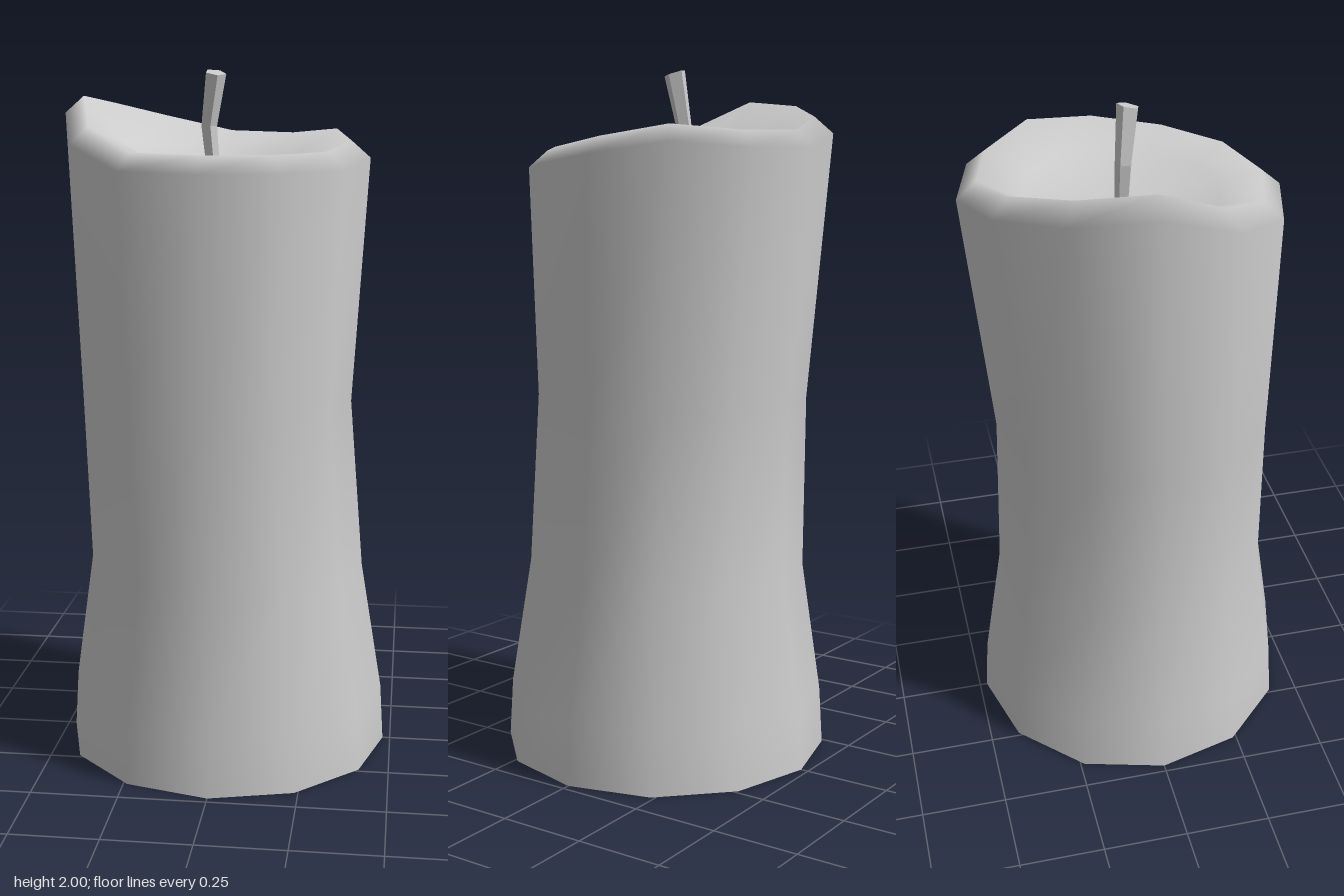
import * as THREE from 'three';

const SIDES = 12;

// Joins rings of points into a skin; an optional end point closes the last ring.
function loft(rings, end) {
  const n = rings[0].length;
  const points = rings.flat();
  const index = [];
  for (let r = 0; r < rings.length - 1; r++) {
    for (let j = 0; j < n; j++) {
      const a = r * n + j, b = r * n + (j + 1) % n;
      index.push(a, a + n, b, b, a + n, b + n);
    }
  }
  if (end) {
    const base = (rings.length - 1) * n;
    for (let j = 0; j < n; j++) index.push(base + j, points.length, base + (j + 1) % n);
    points.push(end);
  }
  const geometry = new THREE.BufferGeometry().setFromPoints(points);
  geometry.setIndex(index);
  geometry.computeVertexNormals();
  return geometry;
}

// A ring around (x, z); height is a number or a function of the corner number.
function ring(n, radius, x, z, height, turn = 0) {
  return Array.from({ length: n }, (_, j) => {
    const a = (j / n) * Math.PI * 2 + turn;
    const y = typeof height === 'function' ? height(j) : height;
    return new THREE.Vector3(x + radius * Math.cos(a), y, z + radius * Math.sin(a));
  });
}

export function createModel() {
  const group = new THREE.Group();
  group.name = 'candle';

  // Uneven melted rim, counted from +x round through the front (+z)
  const rim = [1.8, 1.775, 1.77, 1.77, 1.775, 1.84, 1.925, 1.905, 1.865, 1.82, 1.815, 1.83];

  // Wax: open underneath, waisted side, rounded rim and hollow pool
  const wax = loft([
    ring(SIDES, 0.478, 0, 0, 0),
    ring(SIDES, 0.468, 0, 0, 0.17),
    ring(SIDES, 0.41, -0.005, 0, 0.55),
    ring(SIDES, 0.4, -0.035, 0, 1.05),
    ring(SIDES, 0.443, -0.035, -0.028, (j) => rim[j] - 0.048),
    ring(SIDES, 0.388, -0.035, -0.028, (j) => rim[j]),
    ring(SIDES, 0.27, -0.035, -0.028, (j) => 1.745 + (rim[j] - 1.77) * 0.3),
  ], new THREE.Vector3(-0.04, 1.725, -0.028));
  const body = new THREE.Mesh(wax, new THREE.MeshStandardMaterial({
    color: 0xcccccc, side: THREE.DoubleSide,
  }));
  body.name = 'waxBody';
  group.add(body);

  // Wick: bent five-sided stalk with a tilted tip
  const tip = ring(5, 0.031, -0.036, -0.01, 1.99);
  tip.forEach((p) => { p.y -= (p.x + 0.036) * 0.15 + (p.z + 0.01) * 0.25; });
  const wick = new THREE.Mesh(
    loft([
      ring(5, 0.02, -0.045, -0.03, 1.7),
      ring(5, 0.024, -0.058, -0.027, 1.84),
      tip,
    ], new THREE.Vector3(-0.036, 1.99, -0.01)),
    new THREE.MeshStandardMaterial({ color: 0xcccccc, flatShading: true }),
  );
  wick.name = 'wick';
  group.add(wick);

  return group;
}
